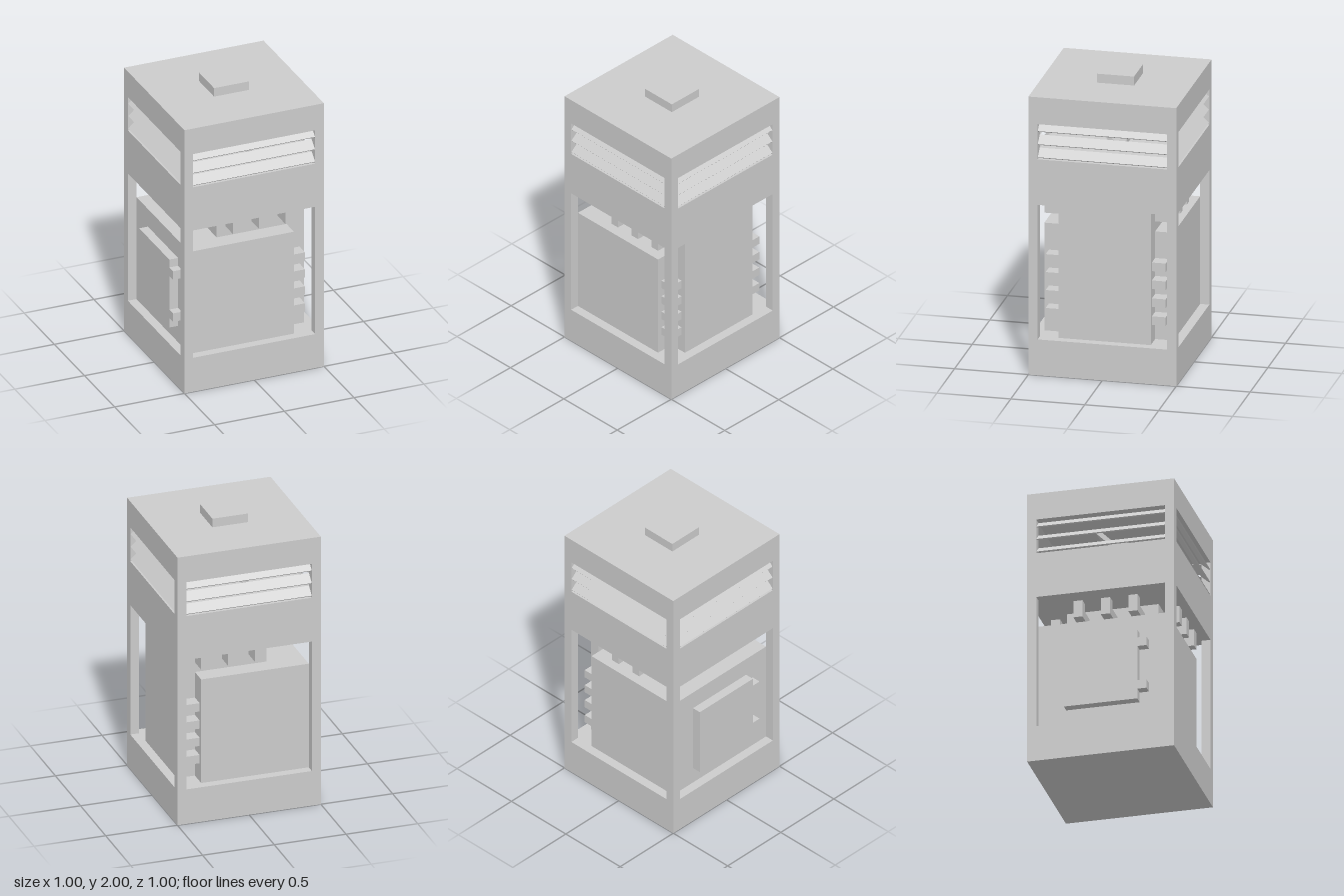
import * as THREE from 'three';

const material = new THREE.MeshStandardMaterial({ color: 0xcccccc, flatShading: true });

// Box given by its lower and upper limits on each axis
function box(parent, name, [x0, x1], [y0, y1], [z0, z1]) {
  const mesh = new THREE.Mesh(new THREE.BoxGeometry(x1 - x0, y1 - y0, z1 - z0), material);
  mesh.position.set((x0 + x1) / 2, (y0 + y1) / 2, (z0 + z1) / 2);
  mesh.name = name;
  parent.add(mesh);
  return mesh;
}

function group(parent, name) {
  const g = new THREE.Group();
  g.name = name;
  parent.add(g);
  return g;
}

export function createModel() {
  const root = new THREE.Group();
  root.name = 'machineTower';
  const H = 0.5, W = 0.4375, full = [-H, H];

  // Solid storeys of the casing and the cap
  const casing = group(root, 'casing');
  box(casing, 'base', full, [0, 0.25], full);
  box(casing, 'middleBand', full, [1.1875, 1.505], full);
  box(casing, 'roof', full, [1.75, 1.9375], full);
  box(casing, 'topCap', [-0.125, 0.125], [1.9375, 2], [-0.125, 0.125]);

  // Corner posts around both openings
  for (const x of [[-H, -W], [W, H]])
    for (const z of [[-H, -W], [W, H]]) {
      box(casing, 'lowerPost', x, [0.25, 1.1875], z);
      box(casing, 'upperPost', x, [1.505, 1.75], z);
    }

  // Machine core, side unit and the block above the core
  const core = group(root, 'core');
  box(core, 'coreBlock', [-W, 0.3125], [0.25, 1], [-W, W]);
  box(core, 'sideUnit', [0.3125, W], [0.25, 1.1875], [-0.3125, 0.3125]);
  box(core, 'upperBlock', [-0.1875, 0.3125], [1, 1.1875], [-0.3125, 0.3125]);

  // Short connectors between the core and the side unit
  for (let i = 0; i < 4; i++) {
    const y = 0.38 + i * 0.125;
    for (const z of [[0.3125, 0.406], [-0.406, -0.3125]])
      box(core, 'connector', [0.3125, 0.406], [y, y + 0.06], z);
  }

  // Bent pipes from the upper block to the ceiling
  const pipes = group(root, 'pipes');
  for (const x of [-0.125, 0.0625, 0.25])
    for (const s of [-1, 1]) {
      const span = (a, b) => (s > 0 ? [a, b] : [-b, -a]);
      box(pipes, 'pipeFoot', [x, x + 0.0625], [1.07, 1.13], span(0.3125, W));
      box(pipes, 'pipeRiser', [x, x + 0.0625], [1.13, 1.1875], span(0.375, W));
    }
  for (const z of [-0.1875, 0, 0.1875]) {
    const depth = [z - 0.03125, z + 0.03125];
    box(pipes, 'pipeFoot', [-0.375, -0.1875], [1.07, 1.13], depth);
    box(pipes, 'pipeRiser', [-0.375, -0.3125], [1.13, 1.1875], depth);
  }

  // Hatch with two hinges
  const hatch = group(root, 'hatch');
  box(hatch, 'hatchDoor', [-H, -W], [0.37, 0.87], [-0.25, 0.25]);
  for (const y of [0.44, 0.75])
    box(hatch, 'hinge', [-H, -W], [y, y + 0.0625], [0.25, 0.3125]);

  // Sloping louvre slats on all four sides
  for (let side = 0; side < 4; side++) {
    const louvre = group(root, 'louvre');
    for (let i = 0; i < 3; i++) {
      const slat = box(louvre, 'slat', [-W, W], [-0.004, 0.004], [-0.037, 0.037]);
      slat.position.set(0, 1.722 - i * 0.091, 0.467);
      slat.rotation.x = 0.72;
    }
    louvre.rotation.y = side * Math.PI / 2;
  }

  // Fan behind the louvres
  const fan = group(root, 'fan');
  box(fan, 'fanHub', [-0.0625, 0.0625], [1.505, 1.75], [-0.0625, 0.0625]);
  for (let i = 0; i < 4; i++) {
    const arm = group(fan, 'fanArm');
    const blade = box(arm, 'fanBlade', [0.04, 0.32], [1.53, 1.73], [-0.015, 0.015]);
    blade.rotation.x = Math.PI / 4;
    arm.rotation.y = i * Math.PI / 2;
  }
  return root;
}
